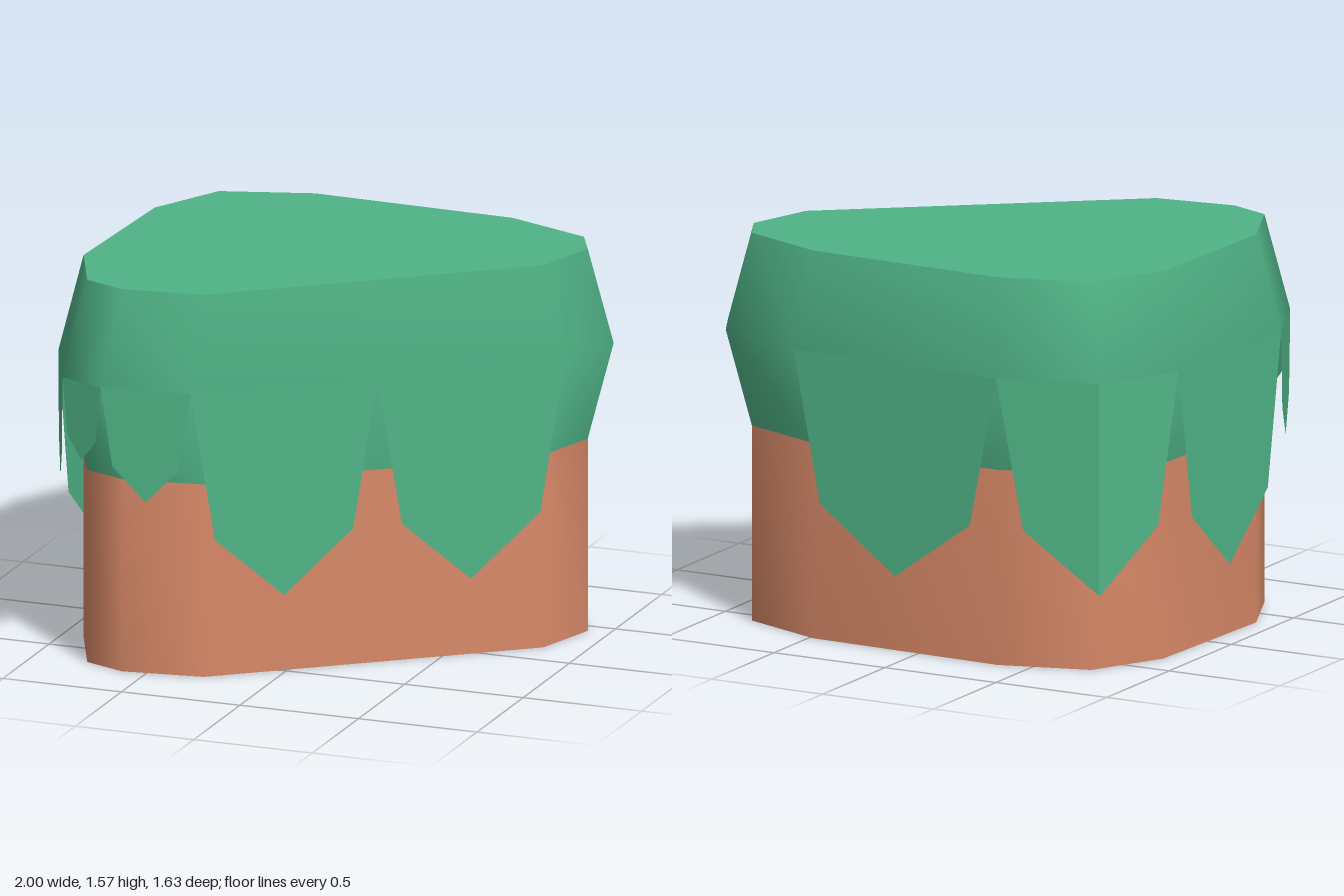
import * as THREE from 'three';

// Outline [x, z] at the widest level
const outline = [
  [-0.40, -0.82], [0.53, -0.79], [0.92, -0.64], [1.0, -0.48], [0.91, -0.18], [-0.30, 0.765],
  [-0.66, 0.815], [-0.85, 0.74], [-1.0, 0.40], [-0.97, -0.37], [-0.80, -0.70],
];
const INSET = 0.908, WALL_TOP = 0.79, RIM = 1.18, TOP = 1.57;
const inner = outline.map(([x, z]) => [x * INSET, z * INSET]);

// Smooth band through rings of equal point count, [[points, y], ...] from bottom to top
function band(rings) {
  const n = outline.length, positions = [], index = [];
  for (const [points, y] of rings) for (const [x, z] of points) positions.push(x, y, z);
  for (let r = 0; r < rings.length - 1; r++) {
    for (let i = 0; i < n; i++) {
      const a = r * n + i, b = r * n + (i + 1) % n;
      index.push(a, a + n, b + n, a, b + n, b);
    }
  }
  const g = new THREE.BufferGeometry();
  g.setAttribute('position', new THREE.Float32BufferAttribute(positions, 3));
  g.setIndex(index);
  g.computeVertexNormals();
  return g;
}

// Flat lid facing up (sign 1) or down (sign -1)
function lid(points, y, sign) {
  const shape = new THREE.Shape(points.map(([x, z]) => new THREE.Vector2(x, -sign * z)));
  return new THREE.ShapeGeometry(shape).rotateX(-sign * Math.PI / 2).translate(0, y, 0);
}

// Pointed hanging flap from a to b, with its tip below m
function flap(a, m, b, shoulderDrop, tipDrop) {
  const point = (p, drop) => [p[0], RIM - drop, p[1]];
  const shoulder = (p) => point([p[0] + (m[0] - p[0]) * 0.26, p[1] + (m[1] - p[1]) * 0.26], shoulderDrop);
  const A = point(a, 0), M = point(m, 0), B = point(b, 0), T = point(m, tipDrop);
  const positions = [A, M, T, A, T, shoulder(a), M, B, T, B, shoulder(b), T].flat();
  const g = new THREE.BufferGeometry();
  g.setAttribute('position', new THREE.Float32BufferAttribute(positions, 3));
  g.computeVertexNormals();
  return g;
}

export function createModel() {
  const model = new THREE.Group();
  model.name = 'grassyCliff';
  const grass = new THREE.MeshStandardMaterial({ color: 0x50b487, side: THREE.DoubleSide });
  grass.name = 'grass';
  const dirt = new THREE.MeshStandardMaterial({ color: 0xd88968 });
  dirt.name = 'dirt';
  const add = (name, geometry, material) => {
    const mesh = new THREE.Mesh(geometry, material);
    mesh.name = name;
    model.add(mesh);
  };

  // Dirt body
  add('dirtWall', band([[inner, 0], [inner, WALL_TOP]]), dirt);
  add('dirtBase', lid(inner, 0, -1), dirt);

  // Bulging grass cap
  add('grassRim', band([[inner, WALL_TOP], [outline, RIM], [inner, TOP]]), grass);
  add('grassTop', lid(inner, TOP, 1), grass);

  // Hanging grass flaps: start, tip and end points, shoulder drop, tip drop
  const mid = (p, q) => [(p[0] + q[0]) / 2, (p[1] + q[1]) / 2];
  const P = outline, half = mid(P[4], P[5]);
  const flaps = [
    [P[0], mid(P[0], P[1]), P[1], 0.61, 0.86],
    [P[4], mid(P[4], half), half, 0.61, 0.86],
    [half, mid(half, P[5]), P[5], 0.61, 0.86],
    [P[5], mid(P[5], P[6]), P[6], 0.32, 0.46],
    [P[6], mid(P[6], P[7]), P[7], 0.23, 0.32],
    [P[7], mid(P[7], P[8]), P[8], 0.32, 0.46],
    [P[8], mid(P[8], P[9]), P[9], 0.61, 0.86],
    [P[9], P[10], P[0], 0.61, 0.86], // folded round a corner
  ];
  flaps.forEach((f, i) => add(`grassFlap${i + 1}`, flap(...f), grass));
  return model;
}
